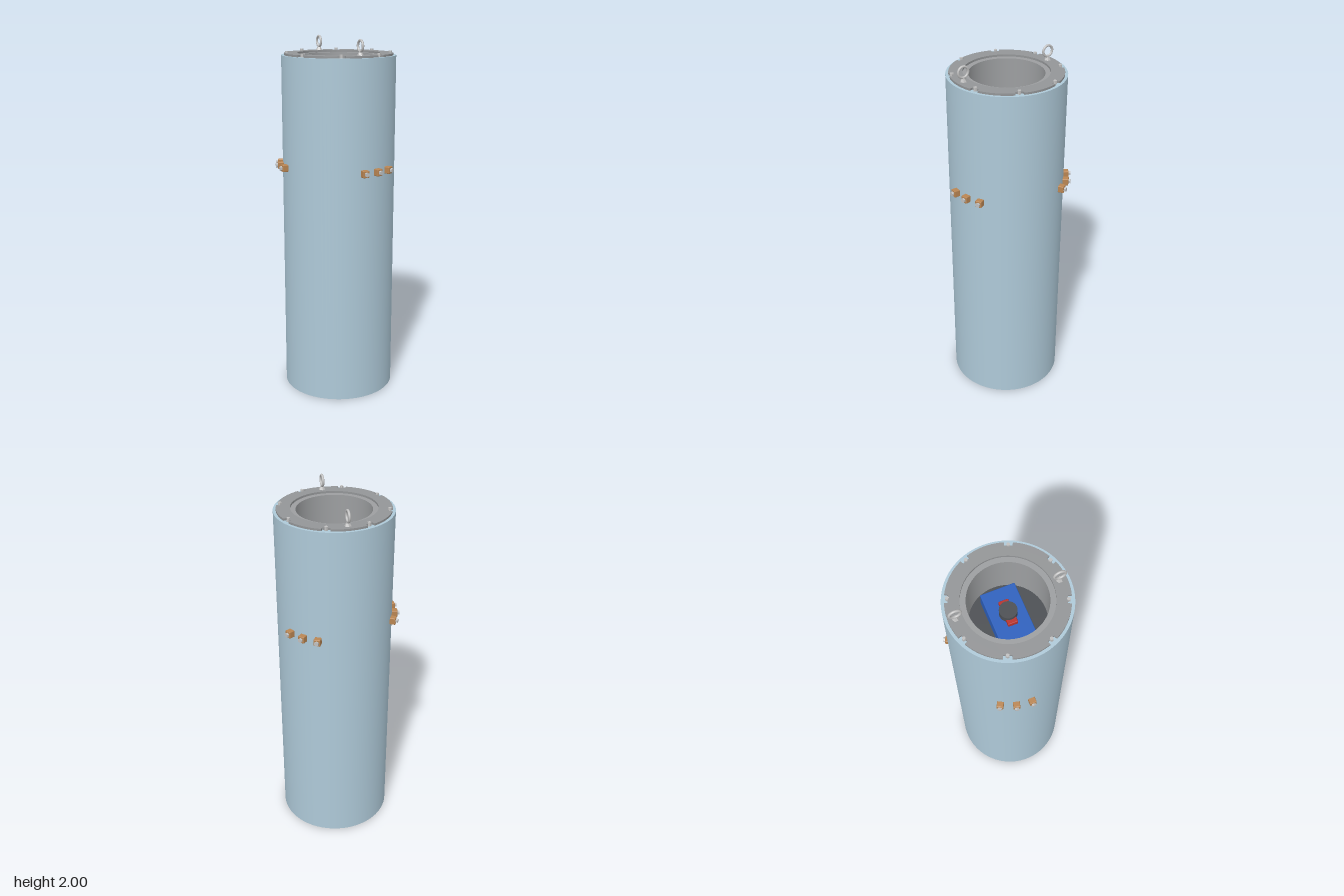
import * as THREE from 'three';
import { RoundedBoxGeometry } from 'three/addons/geometries/RoundedBoxGeometry.js';

const mat = (name, color) => {
  const m = new THREE.MeshStandardMaterial({ color });
  m.name = name;
  return m;
};

export function createModel() {
  const shellBlue = mat('shellBlue', 0xaec9d8);
  const lidGrey = mat('lidGrey', 0x939597);
  const liningGrey = mat('liningGrey', 0x9c9ea0);
  const coreDark = mat('coreDark', 0x4c4f53);
  const boxBlue = mat('boxBlue', 0x2d60bd);
  const clampRed = mat('clampRed', 0xb8322c);
  const copper = mat('copper', 0xb98552);
  const steel = mat('steel', 0xc0c0c0);

  const root = new THREE.Group();
  root.name = 'canister';
  const axis = new THREE.Group();
  axis.name = 'assembly';
  axis.position.set(0.019, 0, -0.021);
  root.add(axis);

  const add = (parent, name, geo, material, x = 0, y = 0, z = 0) => {
    const m = new THREE.Mesh(geo, material);
    m.name = name;
    m.position.set(x, y, z);
    parent.add(m);
    return m;
  };
  // Lathe with every inner profile point doubled, so corners stay sharp
  const turned = (pts) => {
    const p = [];
    pts.forEach(([r, y], i) => {
      p.push(new THREE.Vector2(r, y));
      if (i > 0 && i < pts.length - 1) p.push(new THREE.Vector2(r, y));
    });
    return new THREE.LatheGeometry(p, 96);
  };

  const H = 1.905, R = 0.3125, seatR = 0.225, boreR = 0.197;

  // Outer shell and inner lining
  add(axis, 'shell', turned([[0, 0], [R, 0], [R, H], [seatR, H]]), shellBlue);
  add(axis, 'lining', turned([[seatR, H], [boreR, H], [boreR, 1.6]]), liningGrey);

  // Lid ring with eight notches in its rim
  const lidR = 0.297, notchR = 0.279, half = THREE.MathUtils.degToRad(4.2);
  const outline = new THREE.Shape();
  for (let k = 0; k < 8; k++) {
    const a = Math.PI / 8 + k * Math.PI / 4;
    outline.absarc(0, 0, notchR, a - half, a + half, false);
    outline.absarc(0, 0, lidR, a + half, a + Math.PI / 4 - half, false);
  }
  outline.closePath();
  const hole = new THREE.Path();
  hole.absarc(0, 0, seatR, 0, Math.PI * 2, true);
  outline.holes.push(hole);
  const lidGeo = new THREE.ExtrudeGeometry(outline, { depth: 0.011, bevelEnabled: false, curveSegments: 24 });
  lidGeo.rotateX(-Math.PI / 2);
  add(axis, 'lidRing', lidGeo, lidGrey, 0, H, 0);

  // Hex bolts in the notches
  const lidBolt = new THREE.CylinderGeometry(0.0095, 0.0095, 0.02, 6).toNonIndexed();
  lidBolt.computeVertexNormals();
  for (let k = 0; k < 8; k++) {
    const a = Math.PI / 8 + k * Math.PI / 4;
    add(axis, 'lidBolt', lidBolt, steel, 0.282 * Math.sin(a), H + 0.01, 0.282 * Math.cos(a));
  }

  // Lifting eyes, front and back
  const eyeBase = new THREE.CylinderGeometry(0.01, 0.018, 0.016, 6).toNonIndexed();
  eyeBase.computeVertexNormals();
  for (const s of [-1, 1]) {
    const eye = new THREE.Group();
    eye.name = 'liftingEye';
    eye.position.set(0, 0, s * 0.26);
    add(eye, 'eyeRing', new THREE.TorusGeometry(0.0285, 0.0065, 12, 40), steel, 0, 1.965, 0).rotation.y = Math.PI / 2;
    add(eye, 'eyeBase', eyeBase, steel, 0, 1.923, 0);
    add(eye, 'eyeNeck', new THREE.CylinderGeometry(0.007, 0.009, 0.014, 16), steel, 0, 1.934, 0);
    axis.add(eye);
  }

  // Contents of the bore
  add(axis, 'core', new THREE.CylinderGeometry(boreR, boreR, 0.06, 96), coreDark, 0, 1.63, 0);
  add(axis, 'equipmentBox', new RoundedBoxGeometry(0.286, 0.09, 0.182, 2, 0.004), boxBlue, 0, 1.705, 0);
  add(axis, 'clamp', new RoundedBoxGeometry(0.13, 0.03, 0.051, 2, 0.004), clampRed, 0, 1.76, 0);
  add(axis, 'shaft', new THREE.CylinderGeometry(0.045, 0.045, 0.04, 48), coreDark, 0, 1.775, 0);

  // Three rows of three copper fittings around the shell
  const block = new RoundedBoxGeometry(0.036, 0.038, 0.034, 2, 0.004);
  const screw = new THREE.CylinderGeometry(0.0125, 0.0125, 0.016, 6).toNonIndexed();
  screw.computeVertexNormals();
  screw.rotateX(Math.PI / 2);
  for (let k = 0; k < 3; k++) {
    for (let j = 0; j < 3; j++) {
      const fitting = new THREE.Group();
      fitting.name = 'fitting';
      fitting.rotation.y = THREE.MathUtils.degToRad(k * 120 + j * 15);
      add(fitting, 'fittingBlock', block, copper, 0, 1.305, 0.326);
      add(fitting, 'fittingScrew', screw, steel, 0, 1.305, 0.346);
      axis.add(fitting);
    }
  }
  return root;
}
